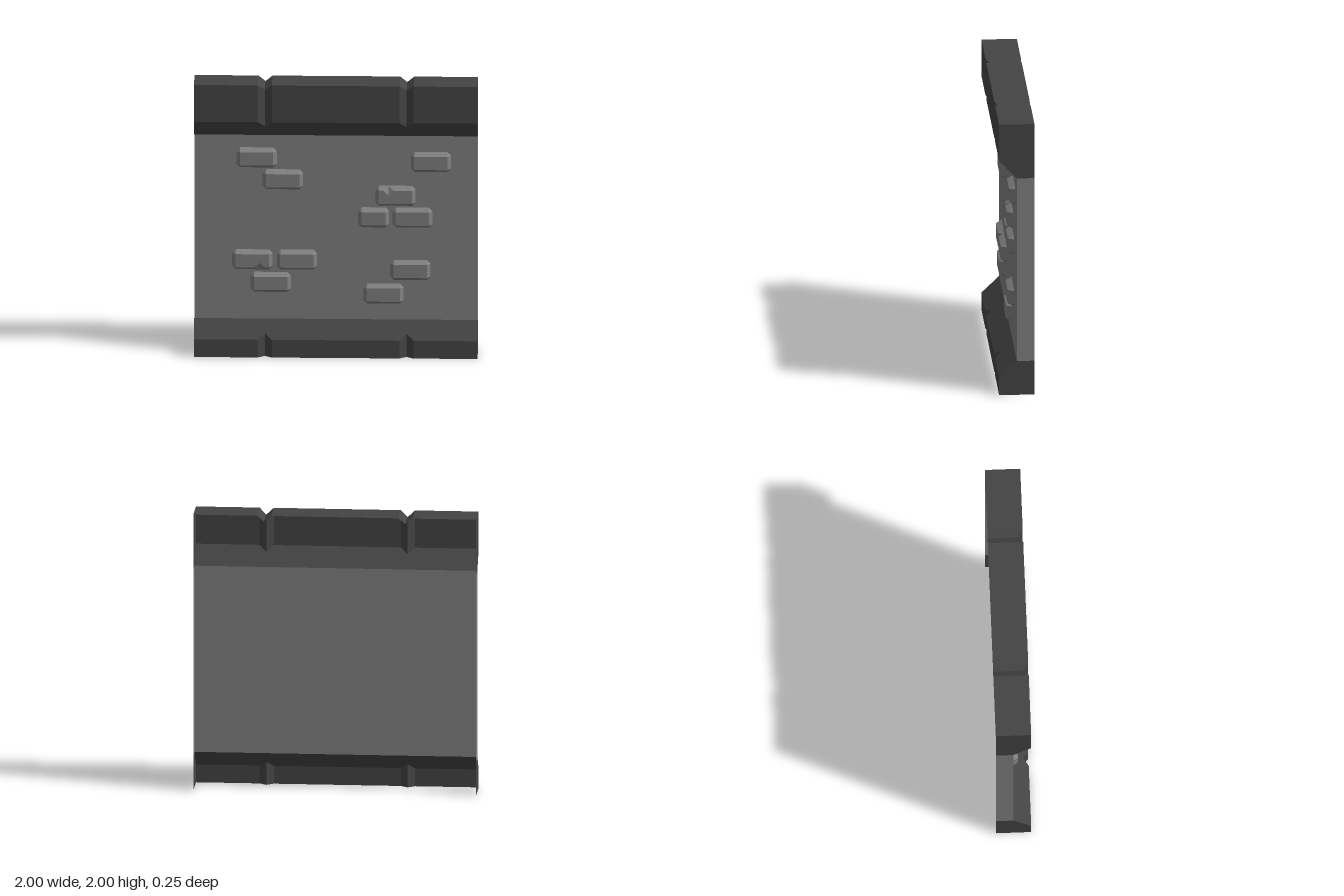
import * as THREE from 'three';

const BACK = -0.125, FRONT = 0.125, GROOVE = 0.04;

const stone = new THREE.MeshStandardMaterial({ color: 0x808080, flatShading: true, side: THREE.DoubleSide });
const darkStone = new THREE.MeshStandardMaterial({ color: 0x444444, flatShading: true, side: THREE.DoubleSide });

function meshFrom(name, triangles, material) {
  const geometry = new THREE.BufferGeometry().setFromPoints(triangles);
  geometry.computeVertexNormals();
  const mesh = new THREE.Mesh(geometry, material);
  mesh.name = name;
  return mesh;
}

// Skin between neighbouring rows of points
function loft(rows) {
  const out = [];
  for (let i = 0; i < rows.length - 1; i++) {
    for (let j = 0; j < rows[i].length - 1; j++) {
      const a = rows[i][j], b = rows[i][j + 1], c = rows[i + 1][j + 1], d = rows[i + 1][j];
      out.push(a, b, c, a, c, d);
    }
  }
  return out;
}

// Trim: a section swept along x, dipping inward at the two V grooves
function trim(name, section, backCorners) {
  const stations = [[-1, 0]];
  for (const x of [-0.5, 0.5]) stations.push([x - 0.05, 0], [x, GROOVE], [x + 0.05, 0]);
  stations.push([1, 0]);
  const at = (x, points) => points.map(([y, z]) => new THREE.Vector3(x, y, z));
  const triangles = loft(stations.map(([x, d]) => at(x, section(d))));
  // End caps
  for (const x of [-1, 1]) {
    const p = at(x, [...section(0), ...backCorners]);
    for (let i = 1; i < p.length - 1; i++) {
      triangles.push(p[0], x > 0 ? p[i] : p[i + 1], x > 0 ? p[i + 1] : p[i]);
    }
  }
  return meshFrom(name, triangles, darkStone);
}

// Brick: octagonal foot tapering to a rectangular face, with an optional chip in the top edge
function brick(name, w, h, chipX) {
  const X = w / 2, Y = h / 2, cut = 0.026, inset = 0.025;
  const foot = [], face = [];
  const add = (fx, fy, tx, ty) => {
    foot.push(new THREE.Vector3(fx, fy, 0));
    face.push(new THREE.Vector3(tx, ty, 0.042));
  };
  const x = X - inset, y = Y - inset;
  add(-X, -Y + cut, -x, -y);
  add(-X + cut, -Y, -x, -y);
  add(X - cut, -Y, x, -y);
  add(X, -Y + cut, x, -y);
  add(X, Y - cut, x, y);
  add(X - cut, Y, x, y);
  if (chipX !== undefined) {
    add(chipX, Y, chipX + 0.035, y);
    add(chipX, Y, chipX, y - 0.035);
    add(chipX, Y, chipX - 0.035, y);
  }
  add(-X + cut, Y, -x, y);
  add(-X, Y - cut, -x, y);

  const triangles = [];
  foot.forEach((a, i) => {
    const k = (i + 1) % foot.length, b = foot[k], c = face[k], d = face[i];
    if (!a.equals(b)) triangles.push(a, b, c);
    if (!c.equals(d)) triangles.push(a, c, d);
  });
  const outline = face.filter((p, i) => i === 0 || !p.equals(face[i - 1]));
  const flat = outline.map((p) => new THREE.Vector2(p.x, p.y));
  for (const t of THREE.ShapeUtils.triangulateShape(flat, [])) triangles.push(...t.map((i) => outline[i]));
  return meshFrom(name, triangles, stone);
}

export function createModel() {
  const model = new THREE.Group();
  model.name = 'wallPanel';

  // Wall face with its two side returns
  const wallPath = [[-1, BACK], [-1, 0], [1, 0], [1, BACK]];
  const wallRows = wallPath.map(([x, z]) => [1.6, 0.25].map((y) => new THREE.Vector3(x, y, z)));
  model.add(meshFrom('wall', loft(wallRows), stone));

  // Top and bottom trims, open at the back
  model.add(trim('topTrim', (d) => [
    [2 - d, BACK], [2 - d, FRONT - d], [1.73 - d * 1.04, FRONT - d], [1.6, 0],
  ], [[1.6, BACK]]));
  model.add(trim('bottomTrim', (d) => [
    [0.25, 0], [0.13 + d * 0.96, FRONT - d], [0, FRONT - d],
  ], [[0, BACK], [0.25, BACK]]));

  // Raised bricks: x, y, width, chip position, turned upside down
  const bricks = new THREE.Group();
  bricks.name = 'bricks';
  const layout = [
    [-0.56, 1.435], [-0.375, 1.275], [0.67, 1.41],
    [0.42, 1.16, 0.285, -0.05], [0.265, 1.0, 0.22], [0.54, 1.0],
    [-0.59, 0.685, 0.285, -0.05, true], [-0.275, 0.685], [-0.46, 0.52],
    [0.525, 0.615], [0.335, 0.44],
  ];
  layout.forEach(([x, y, w = 0.285, chip, turned], i) => {
    const b = brick(`brick${i + 1}`, w, 0.147, chip);
    b.position.set(x, y, 0);
    if (turned) b.rotation.z = Math.PI;
    bricks.add(b);
  });
  model.add(bricks);

  return model;
}
